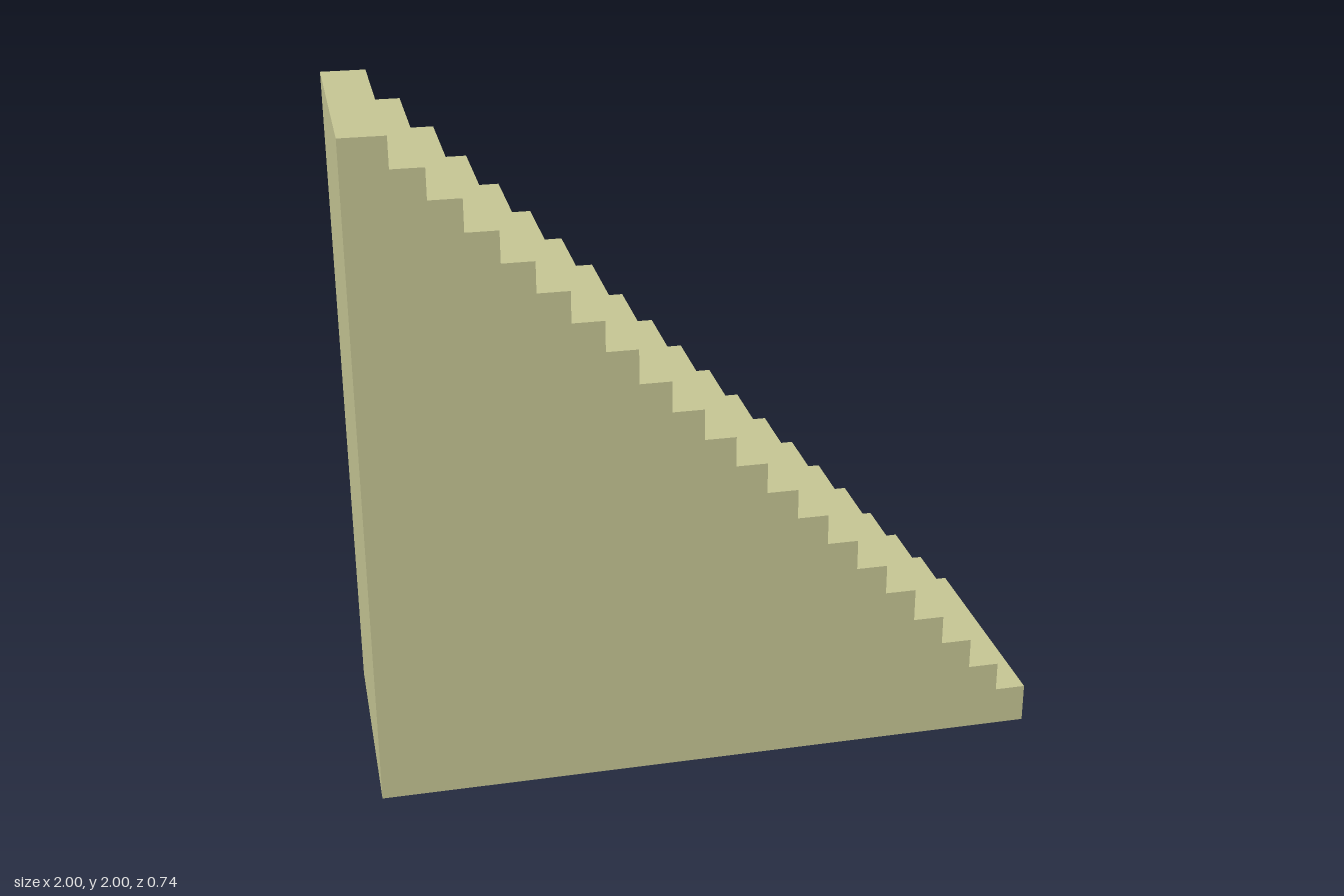
import * as THREE from 'three';

// Tread heights from the top landing down to the lowest step
const TREADS = [2, 1.91, 1.82, 1.725, 1.632, 1.54, 1.446, 1.354, 1.25, 1.156, 1.062,
  0.97, 0.876, 0.784, 0.69, 0.596, 0.503, 0.4, 0.308, 0.212, 0.12];
const LANDING_EDGE = -0.87;
const DEPTH = 0.735;

export function createModel() {
  const group = new THREE.Group();
  group.name = 'staircase';

  // Solid stepped side profile
  const run = (1 - LANDING_EDGE) / (TREADS.length - 1);
  const profile = new THREE.Shape();
  profile.moveTo(-1, 0);
  profile.lineTo(1, 0);
  for (let i = TREADS.length - 1; i >= 0; i--) {
    profile.lineTo(LANDING_EDGE + run * i, TREADS[i]);
    profile.lineTo(i > 0 ? LANDING_EDGE + run * (i - 1) : -1, TREADS[i]);
  }

  // Extruded across the width of the stairs
  const geometry = new THREE.ExtrudeGeometry(profile, { depth: DEPTH, bevelEnabled: false });
  geometry.translate(0, 0, -DEPTH / 2);
  const material = new THREE.MeshStandardMaterial({ color: 0xc8c896 });
  const stairs = new THREE.Mesh(geometry, material);
  stairs.name = 'solidStairs';
  group.add(stairs);

  return group;
}
